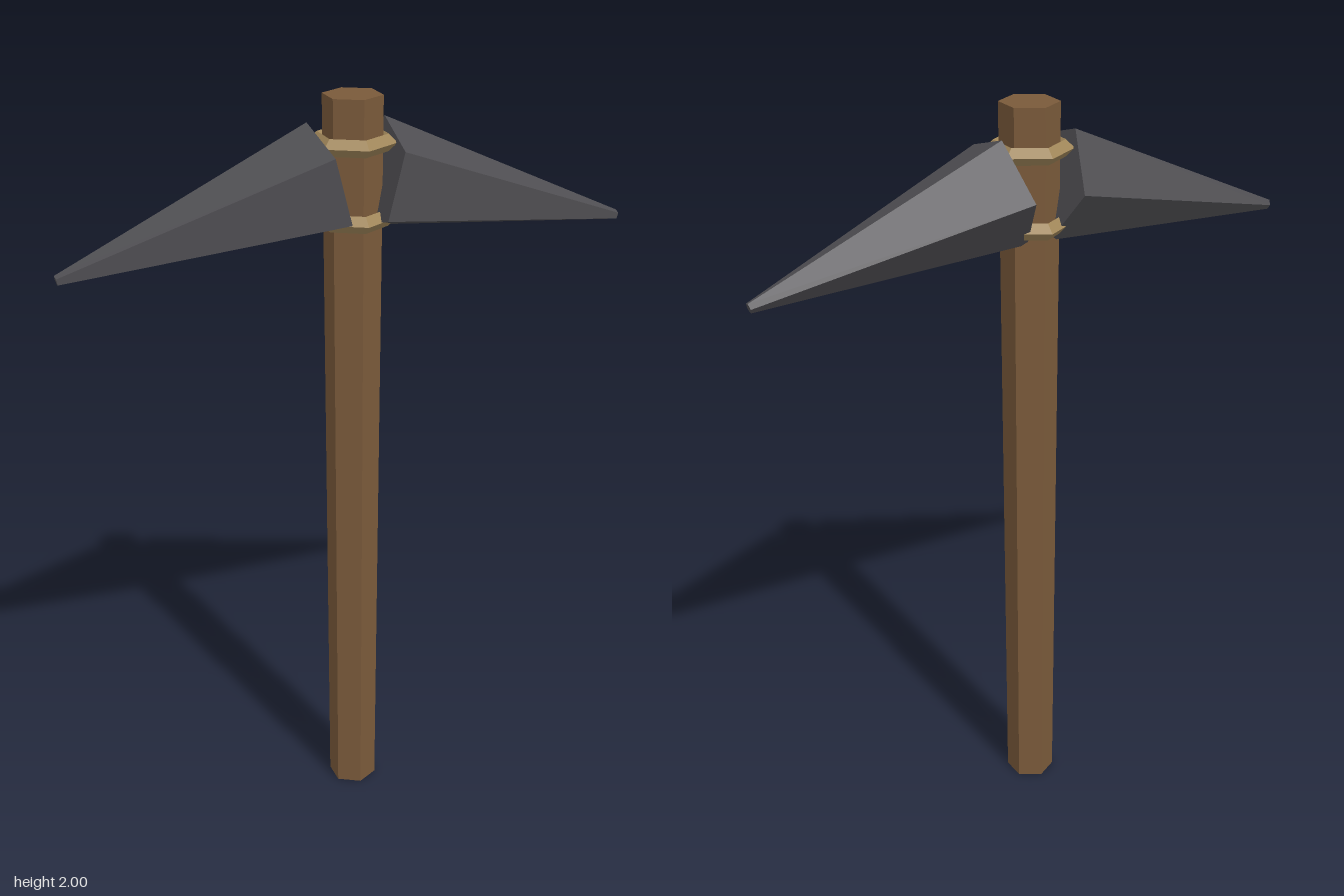
import * as THREE from 'three';

const mat = (name, color) => {
  const m = new THREE.MeshStandardMaterial({ color, flatShading: true });
  m.name = name;
  return m;
};

export function createModel() {
  const group = new THREE.Group();
  group.name = 'pickaxe';
  const wood = mat('wood', 0x7a5a3a);
  const stone = mat('darkStone', 0x4f4e52);
  const rope = mat('rope', 0xa1875a);
  const zMid = 0.0135;

  const add = (name, geometry, material, x, y) => {
    const mesh = new THREE.Mesh(geometry, material);
    mesh.name = name;
    mesh.position.set(x, y, zMid);
    group.add(mesh);
    return mesh;
  };

  // Tapered six-sided handle
  add('handle', new THREE.CylinderGeometry(0.077, 0.066, 2, 6), wood, 0, 1);

  // Two drooping five-sided spikes, flat side to the front
  const root = new THREE.Vector2(0.069, 1.79);
  const tip = new THREE.Vector2(0.762, 1.613);
  const axis = tip.clone().sub(root);
  for (const side of [1, -1]) {
    const geometry = new THREE.CylinderGeometry(0.0135, 0.15, axis.length(), 5, 1, false, Math.PI);
    const spike = add(side > 0 ? 'leftSpike' : 'rightSpike', geometry, stone,
      side * (root.x + tip.x) / 2, (root.y + tip.y) / 2);
    spike.rotation.z = side * (axis.angle() - Math.PI / 2 - 2 * Math.PI);
  }

  // Six-sided bindings with a diamond section
  for (const [name, y] of [['upperBinding', 1.883], ['lowerBinding', 1.692]]) {
    const ring = new THREE.TorusGeometry(0.09, 0.022, 4, 6);
    ring.rotateZ(Math.PI / 6).rotateX(Math.PI / 2);
    add(name, ring, rope, 0, y);
  }

  return group;
}
